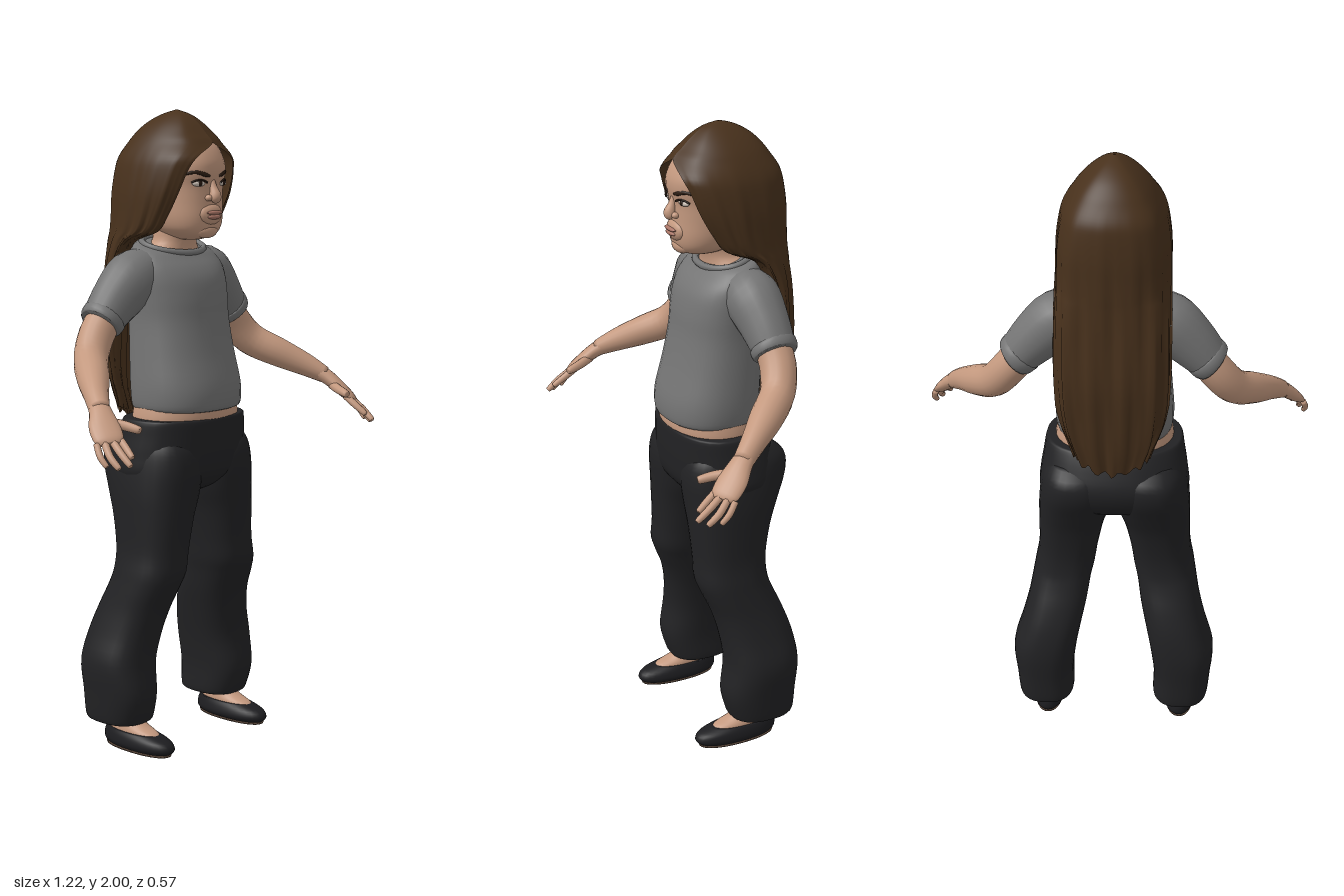
import * as THREE from 'three';

const mat = (name, color, side = THREE.FrontSide) => {
  const m = new THREE.MeshStandardMaterial({ color, side });
  m.name = name;
  return m;
};

// Catmull-Rom resampling of rows of numbers
function spline(rows, k) {
  const out = [], n = rows.length - 1;
  for (let s = 0; s <= n * k; s++) {
    const i = Math.min(Math.floor(s / k), n - 1), t = s / k - i;
    const [p, q, r, w] = [-1, 0, 1, 2].map(o => rows[Math.min(Math.max(i + o, 0), n)]);
    out.push(q.map((b, j) => {
      const a = p[j], c = r[j], d = w[j];
      return 0.5 * (2 * b + (c - a) * t + (2 * a - 5 * b + 4 * c - d) * t * t + (3 * b - a - 3 * c + d) * t ** 3);
    }));
  }
  return out;
}

// Surface through rings of points, closed with caps or left as an open sheet
function skin(rings, closed = true) {
  const n = rings[0].length, pos = rings.flat().flatMap(v => [v.x, v.y, v.z]), idx = [];
  const cols = closed ? n : n - 1;
  for (let i = 0; i < rings.length - 1; i++) for (let j = 0; j < cols; j++) {
    const a = i * n + j, c = i * n + (j + 1) % n;
    idx.push(a, a + n, c, c, a + n, c + n);
  }
  if (closed) for (const end of [0, rings.length - 1]) {
    const mid = new THREE.Vector3();
    rings[end].forEach(v => mid.addScaledVector(v, 1 / n));
    const c = pos.length / 3;
    pos.push(mid.x, mid.y, mid.z);
    for (let j = 0; j < n; j++) {
      const a = end * n + j, b = end * n + (j + 1) % n;
      if (end) idx.push(c, b, a); else idx.push(c, a, b);
    }
  }
  const g = new THREE.BufferGeometry();
  g.setAttribute('position', new THREE.Float32BufferAttribute(pos, 3));
  g.setIndex(idx);
  g.computeVertexNormals();
  return g;
}

// Horizontal sections, bottom to top: [y, xMin, xMax, zFront, zBack, tilt]
function stack(rows, p = 2.2, k = 4, n = 32) {
  const full = rows.map(([y, x0, x1, zf, zb, tilt = 0]) => [y, x0, x1, zf, zb, tilt]);
  return skin(spline(full, k).map(([y, x0, x1, zf, zb, tilt]) => Array.from({ length: n }, (_, j) => {
    const t = j / n * Math.PI * 2, f = v => Math.sign(v) * Math.abs(v) ** (2 / p);
    const dz = (zf - zb) / 2 * f(Math.sin(t));
    return new THREE.Vector3((x0 + x1) / 2 + (x1 - x0) / 2 * f(Math.cos(t)), y - tilt * dz, (zf + zb) / 2 + dz);
  })));
}
const body = (rows, p) => stack(rows.map(([y, w, ...r]) => [y, -w, w, ...r]), p);

// Sections across a path: [x, y, z, radiusAlongSide, otherRadius]
function limb(rows, side = [0, 0, 1], n = 18, k = 4) {
  const s = spline(rows, k), P = s.map(r => new THREE.Vector3(r[0], r[1], r[2]));
  return skin(s.map((r, i) => {
    const t = P[Math.min(i + 1, P.length - 1)].clone().sub(P[Math.max(i - 1, 0)]).normalize();
    const u = new THREE.Vector3(...side);
    u.addScaledVector(t, -u.dot(t)).normalize();
    const v = u.clone().cross(t);
    return Array.from({ length: n }, (_, j) => {
      const a = j / n * Math.PI * 2;
      return P[i].clone().addScaledVector(u, r[3] * Math.cos(a)).addScaledVector(v, r[4] * Math.sin(a));
    });
  }));
}

const blob = (x, y, z, a, b, c, turn = 0) =>
  new THREE.SphereGeometry(1, 20, 14).scale(a, b, c).rotateY(turn).translate(x, y, z);

function mirrored(geo) {
  const g = geo.clone().scale(-1, 1, 1), ix = g.index;
  for (let i = 0; i < ix.count; i += 3) {
    const b = ix.getX(i + 1);
    ix.setX(i + 1, ix.getX(i + 2));
    ix.setX(i + 2, b);
  }
  g.computeVertexNormals();
  return g;
}

// Hair sheet rows, bottom to top: [y, xEdge, zEdge, halfWidth, zWidest, zBack]
function hairSheet() {
  const rows = [
    [1.02, .06, -.205, .115, -.215, -.245], [1.1, .1, -.195, .15, -.21, -.258], [1.22, .11, -.19, .165, -.21, -.27],
    [1.35, .11, -.185, .172, -.205, -.28], [1.5, .12, -.17, .172, -.195, -.272], [1.59, .14, -.13, .17, -.16, -.268],
    [1.63, .125, -.035, .17, -.12, -.268], [1.68, .12, .005, .17, -.1, -.268], [1.75, .115, .045, .168, -.09, -.268],
    [1.82, .1, .072, .158, -.08, -.262], [1.86, .072, .086, .145, -.075, -.252], [1.9, 0, .08, .122, -.07, -.225],
    [1.93, 0, .05, .1, -.07, -.202], [1.96, 0, .018, .07, -.07, -.17], [1.985, 0, -.02, .035, -.07, -.125],
    [2, 0, -.068, .003, -.07, -.074],
  ];
  return skin(spline(rows, 4).map(([y, xe, ze, w, zm, zb]) => {
    const x0 = Math.max(xe, 0);
    const half = [[x0, ze], [x0 + (w - x0) * .7, zm + (ze - zm) * .72], [w, zm], [w * .77, zm + (zb - zm) * .78], [0, zb]];
    const pts = [...half.map(([x, z]) => [-x, z]), ...half.slice(0, 4).reverse()];
    const low = THREE.MathUtils.clamp((1.9 - y) / .4, 0, 1), tip = THREE.MathUtils.clamp((1.25 - y) / .2, 0, 1);
    return spline(pts, 10).map(([x, z], j) => {
      const wave = low * (.004 * Math.sin(j * .95 + y * 3) + .003 * Math.sin(j * 1.9 - y * 5));
      const d = Math.hypot(x, z + .1) || 1;
      return new THREE.Vector3(x * (1 + wave / d), y + tip * 4 * x * x - tip * .01 * Math.sin(j * 1.3), z + (z + .1) / d * wave);
    });
  }), false);
}

export function createModel() {
  const M = {
    skin: mat('skin', 0xc4997f), shirt: mat('shirt grey', 0x747474), pants: mat('trouser black', 0x222224),
    hair: mat('hair brown', 0x48311c, THREE.DoubleSide), shoe: mat('shoe black', 0x1d1d20), sole: mat('sole brown', 0x5a473a),
    lips: mat('lips', 0xa97566), white: mat('eye white', 0xcfc3b8), iris: mat('iris', 0x24170f), brow: mat('brow', 0x2c1d13),
  };
  const model = new THREE.Group();
  model.name = 'figure';
  const add = (name, geo, m) => {
    const mesh = new THREE.Mesh(geo, m);
    mesh.name = name;
    model.add(mesh);
  };
  const pair = (name, geo, m) => {
    add('left' + name, geo, m);
    add('right' + name, mirrored(geo), m);
  };

  // Head and neck
  add('head', body([[1.603, .03, .02, -.06], [1.615, .062, .056, -.08], [1.635, .09, .073, -.12], [1.67, .104, .08, -.15],
    [1.72, .109, .08, -.18], [1.77, .111, .081, -.19], [1.81, .115, .09, -.2], [1.85, .11, .086, -.2], [1.9, .088, .058, -.18],
    [1.94, .05, 0, -.14]], 2.35), M.skin);
  add('neck', body([[1.52, .115, -.01, -.165, .25], [1.57, .1, -.02, -.16, .25], [1.6, .072, -.015, -.15], [1.66, .07, .01, -.15]], 2), M.skin);

  // Face
  add('nose', limb([[0, 1.795, .074, .008, .008], [0, 1.765, .082, .012, .012], [0, 1.74, .09, .018, .019], [0, 1.728, .089, .018, .016],
    [0, 1.722, .084, .008, .008]], [1, 0, 0]), M.skin);
  pair('Nostril', blob(.02, 1.733, .081, .012, .01, .013), M.skin);
  add('mouthMound', blob(0, 1.683, .068, .05, .034, .024), M.skin);
  add('chin', blob(0, 1.632, .052, .045, .024, .026), M.skin);
  add('upperLip', blob(0, 1.688, .089, .034, .007, .01), M.lips);
  add('lowerLip', blob(0, 1.675, .087, .029, .008, .011), M.lips);
  pair('Eye', blob(0, 0, 0, .022, .009, .009, .3).translate(.054, 1.777, .07), M.white);
  pair('Iris', blob(0, 0, 0, .009, .009, .006, .3).translate(.053, 1.778, .075), M.iris);
  const faceZ = x => -.055 + .143 * (1 - (x / .115) ** 2.35) ** (1 / 2.35);
  pair('UpperLash', limb([.031, .043, .055, .067, .077].map((x, i) =>
    [x, 1.783 + [-.003, .003, .005, .003, -.003][i], faceZ(x) + .001, .003, .003]), [0, 1, 0], 8, 3), M.iris);
  pair('Brow', limb([.022, .04, .06, .078, .093].map((x, i) =>
    [x, [1.8, 1.805, 1.811, 1.81, 1.802][i], faceZ(x), [.004, .007, .006, .005, .002][i], .004]), [0, 1, 0], 8, 3), M.brow);

  // Hair
  add('hair', hairSheet(), M.hair);

  // Shirt
  add('shirt', body([[1.075, .165, .105, -.17], [1.088, .18, .118, -.18], [1.15, .184, .116, -.185], [1.25, .177, .09, -.19],
    [1.35, .17, .07, -.195], [1.42, .172, .062, -.198], [1.48, .175, .048, -.195], [1.53, .172, .025, -.188, .1],
    [1.57, .15, -.002, -.176, .25], [1.585, .118, -.016, -.166, .28]], 2.3), M.shirt);
  const collar = new THREE.CatmullRomCurve3(Array.from({ length: 20 }, (_, i) => {
    const a = i / 20 * Math.PI * 2;
    return new THREE.Vector3(.113 * Math.cos(a), 1.583 - .022 * Math.sin(a), -.09 + .078 * Math.sin(a));
  }), true);
  add('collar', new THREE.TubeGeometry(collar, 48, .011, 8, true), M.shirt);
  pair('Sleeve', limb([[.09, 1.52, -.1, .07, .06], [.16, 1.487, -.105, .087, .088], [.23, 1.425, -.112, .077, .08],
    [.295, 1.355, -.116, .066, .062]]), M.shirt);
  pair('Cuff', limb([[.273, 1.379, -.114, .066, .063], [.278, 1.374, -.1145, .073, .069], [.293, 1.357, -.116, .072, .066],
    [.298, 1.352, -.116, .064, .06]], [0, 0, 1], 24, 2), M.shirt);

  // Arms and hands
  pair('Arm', limb([[.25, 1.4, -.113, .056, .056], [.31, 1.325, -.115, .056, .055], [.365, 1.255, -.085, .053, .053],
    [.425, 1.21, -.015, .05, .048], [.48, 1.17, .055, .038, .038], [.52, 1.135, .11, .031, .026]]), M.skin);
  const across = [.8, -.2, -.4];
  pair('Palm', limb([[.508, 1.146, .093, .03, .026], [.526, 1.125, .122, .036, .024], [.545, 1.094, .155, .046, .021],
    [.56, 1.064, .188, .044, .016], [.566, 1.052, .2, .03, .009]], across), M.skin);
  const fingers = [
    [[.53, 1.07, .193], [.535, 1.045, .228], [.542, 1.02, .262]],
    [[.553, 1.062, .193], [.562, 1.03, .237], [.562, 1.0, .275]],
    [[.575, 1.055, .187], [.587, 1.02, .22], [.585, .992, .252]],
    [[.593, 1.052, .172], [.602, 1.02, .195], [.599, .995, .217]],
    [[.522, 1.105, .14], [.496, 1.097, .187], [.482, 1.087, .232]],
  ];
  fingers.forEach(([a, b, c], i) => {
    const r = i === 4 ? .015 : i === 3 ? .01 : .0115;
    const tip = c.map((v, k) => v + (c[k] - b[k]) * .1);
    pair(['IndexFinger', 'MiddleFinger', 'RingFinger', 'LittleFinger', 'Thumb'][i],
      limb([[...a, r, r], [...b, r, r], [...c, r * .8, r * .8], [...tip, r * .3, r * .3]], across, 10), M.skin);
  });

  // Waist and trousers
  add('waist', body([[1.0, .18, .09, -.17], [1.05, .185, .103, -.175], [1.1, .175, .1, -.17]]), M.skin);
  add('trouserHips', body([[.81, .1, .01, -.13], [.835, .19, .06, -.19], [.88, .234, .095, -.225], [.94, .232, .104, -.238],
    [1.0, .222, .106, -.215], [1.045, .214, .105, -.19], [1.052, .205, .098, -.182]], 2.4), M.pants);
  pair('TrouserLeg', stack([[.085, .14, .305, -.015, -.215], [.1, .133, .314, -.005, -.225], [.18, .134, .322, .015, -.23],
    [.28, .122, .328, .002, -.236], [.37, .105, .302, .01, -.225], [.45, .088, .28, .03, -.2], [.52, .076, .266, .06, -.17],
    [.57, .064, .257, .077, -.155], [.64, .053, .245, .078, -.155], [.74, .032, .242, .085, -.175],
    [.82, .006, .24, .093, -.205], [.9, -.002, .232, .1, -.237], [.96, .01, .22, .09, -.235], [1.0, .03, .2, .06, -.19]], 2.5), M.pants);

  // Feet and shoes
  pair('Foot', stack([[.035, .18, .262, .07, -.155], [.06, .18, .26, .045, -.155], [.08, .183, .256, -.005, -.15],
    [.11, .186, .252, -.04, -.15], [.17, .186, .252, -.05, -.15]]), M.skin);
  pair('Shoe', stack([[.004, .176, .266, .095, -.16], [.02, .164, .276, .112, -.172], [.042, .168, .273, .1, -.172],
    [.058, .176, .265, .05, -.166]]), M.shoe);
  pair('Sole', stack([[0, .172, .27, .1, -.164], [.007, .17, .272, .102, -.166]], 2.2, 1), M.sole);
  return model;
}
